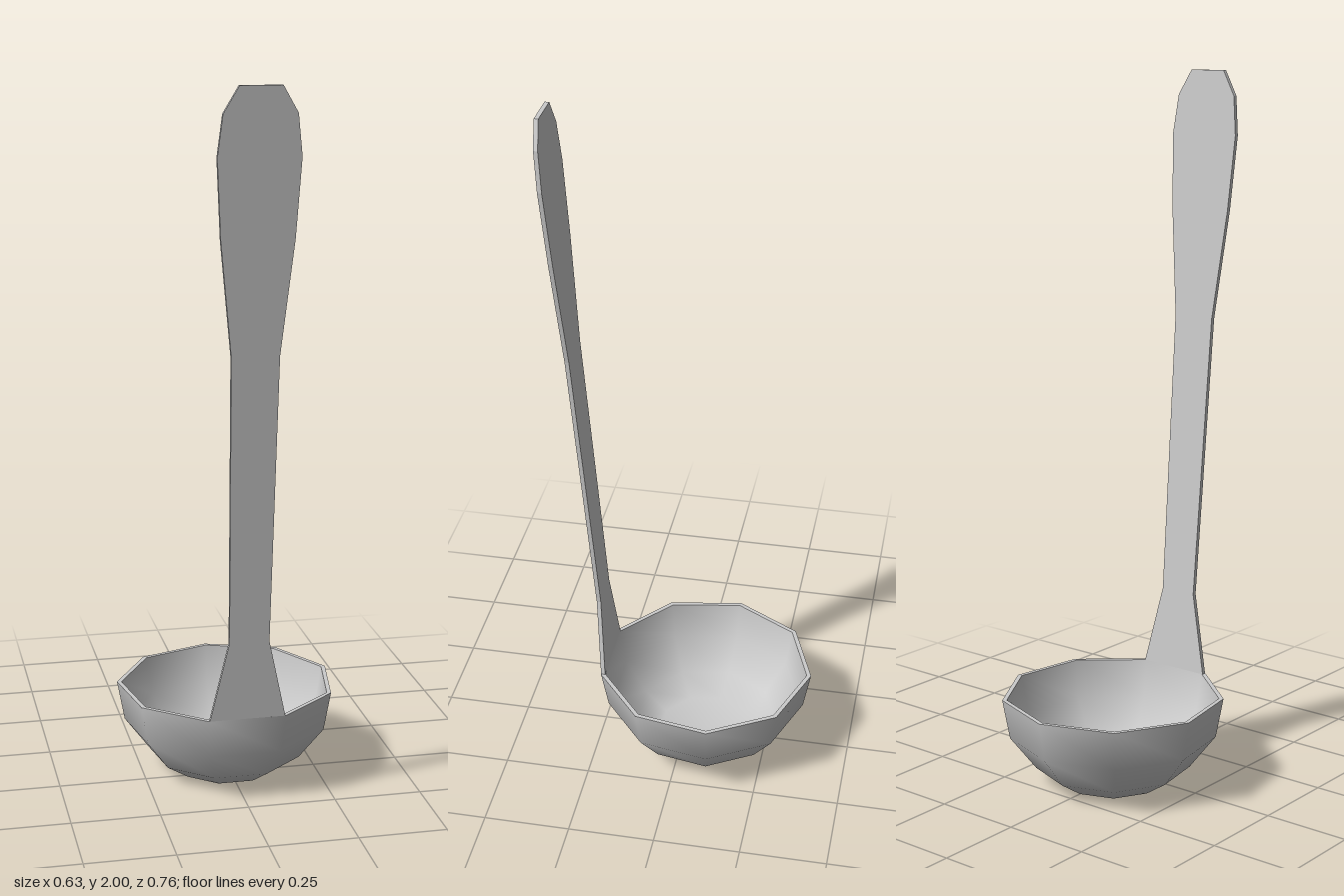
import * as THREE from 'three';

const SIDES = 9;
const RIM_Y = 0.26;
const BOWL_Z = -0.062;

const material = new THREE.MeshStandardMaterial({ color: 0xcccccc });

// Nine-sided surface of revolution, one corner pointing to the back
function ring(name, profile) {
  const points = profile.map(([r, y]) => new THREE.Vector2(r, y));
  const mesh = new THREE.Mesh(new THREE.LatheGeometry(points, SIDES, Math.PI), material);
  mesh.name = name;
  return mesh;
}

// Outer shell, flat rim and inner shell
function createBowl() {
  const bowl = new THREE.Group();
  bowl.name = 'bowl';
  bowl.position.z = BOWL_Z;
  bowl.add(
    ring('bowlOutside', [[0, 0], [0.147, 0], [0.223, 0.05], [0.297, 0.145], [0.318, RIM_Y]]),
    ring('bowlRim', [[0.318, RIM_Y], [0.305, RIM_Y]]),
    ring('bowlInside', [[0.305, RIM_Y], [0.285, 0.15], [0.214, 0.06], [0.142, 0.012], [0, 0.012]])
  );
  return bowl;
}

// Flat blade rising from the front side of the rim, leaning forward
function createHandle() {
  const halfWidths = [
    [0.107, RIM_Y], [0.056, 0.49], [0.065, 1.3], [0.098, 1.61],
    [0.11, 1.82], [0.097, 1.93], [0.056, 2]
  ];
  const outline = [
    ...halfWidths.map(([x, y]) => new THREE.Vector2(x, y)),
    ...halfWidths.map(([x, y]) => new THREE.Vector2(-x, y)).reverse()
  ];
  const geometry = new THREE.ExtrudeGeometry(new THREE.Shape(outline), {
    depth: 0.0122, bevelEnabled: false
  });

  // Shear forward with height
  const position = geometry.attributes.position;
  for (let i = 0; i < position.count; i++) {
    const lean = (position.getY(i) - RIM_Y) * 0.0822;
    position.setZ(i, position.getZ(i) + 0.2246 + lean);
  }
  geometry.computeVertexNormals();

  const handle = new THREE.Mesh(geometry, material);
  handle.name = 'handle';
  return handle;
}

export function createModel() {
  const ladle = new THREE.Group();
  ladle.name = 'ladle';
  ladle.add(createBowl(), createHandle());
  return ladle;
}
